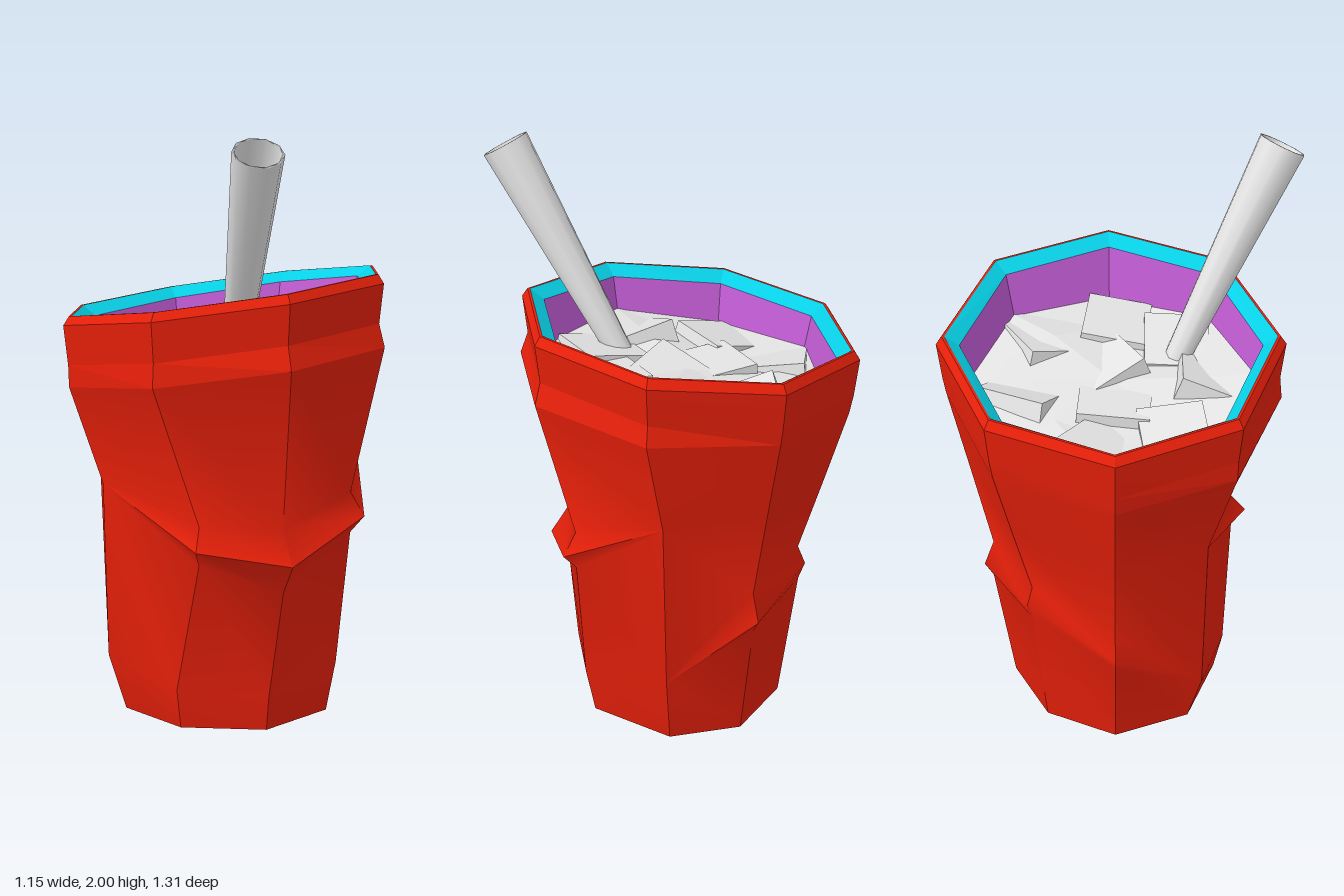
import * as THREE from 'three';
import { mergeGeometries, toCreasedNormals } from 'three/addons/utils/BufferGeometryUtils.js';

const SIDES = 8, CZ = -0.08;
const red = new THREE.MeshStandardMaterial({ name: 'red cup', color: 0xe8200a });
const cyan = new THREE.MeshStandardMaterial({ name: 'cyan trim', color: 0x08d0e6 });
const purple = new THREE.MeshStandardMaterial({ name: 'purple lining', color: 0xc25cd4 });
const pale = new THREE.MeshStandardMaterial({ name: 'pale grey', color: 0xe4e4e4 });

// point at angle t (0 = front, growing towards +x) around the cup axis
const polar = (t, r, y) => new THREE.Vector3(Math.sin(t) * r, y, CZ + Math.cos(t) * r);
const angle = (i) => (i * Math.PI * 2) / SIDES;
// height of the tilted rim plane
const rimY = (x, z) => 1.46 + 0.11 * x + 0.09 * z;
const rimPoint = (i, r, drop) => {
  const p = polar(angle(i), 0.57, 0);
  return polar(angle(i), r, rimY(p.x, p.z) - drop);
};

// joins two equally long polylines; folds within the panel are smoothed up to the crease angle
function panel([left, right], crease) {
  const pos = [];
  const tri = (a, b, c) => {
    const n = b.clone().sub(a).cross(c.clone().sub(a));
    if (n.length() > 1e-7) pos.push(...a.toArray(), ...b.toArray(), ...c.toArray());
  };
  for (let j = 0; j < left.length - 1; j++) {
    tri(left[j], left[j + 1], right[j + 1]);
    tri(left[j], right[j + 1], right[j]);
  }
  const geo = new THREE.BufferGeometry();
  geo.setAttribute('position', new THREE.Float32BufferAttribute(pos, 3));
  geo.computeVertexNormals();
  return toCreasedNormals(geo, crease);
}
const loft = (panels, crease = 0.05) => mergeGeometries(panels.map((p) => panel(p, crease)));

// closed loop of panels from a function giving each column's polyline
function ring(column) {
  const cols = Array.from({ length: SIDES }, (_, i) => column(i));
  return cols.map((c, i) => [c, cols[(i + 1) % SIDES]]);
}

// per column: [radius, height] of the belt, the folds and the foot; twist turns the fold
const columns = [
  { twist: 0.11, p: [[0.59, 1.26], [0.42, 0.70], [0.487, 0.585], [0.425, 0.485], [0.41, 0.12], [0.39, 0]] },
  { twist: 0.05, p: [[0.583, 1.29], [0.46, 0.78], [0.51, 0.70], [0.46, 0.64], [0.42, 0.18], [0.385, 0]] },
  { twist: 0.07, p: [[0.578, 1.28], [0.51, 0.94], [0.44, 0.28], [0.37, 0]] },
  { twist: 0, p: [[0.553, 1.24], [0.49, 0.94], [0.42, 0.60], [0.455, 0.50], [0.425, 0.45], [0.36, 0]] },
  { twist: 0, p: [[0.55, 1.17], [0.475, 0.90], [0.395, 0.62], [0.422, 0.555], [0.40, 0.49], [0.34, 0]] },
  { twist: 0, p: [[0.553, 1.14], [0.49, 0.84], [0.42, 0.51], [0.455, 0.43], [0.425, 0.37], [0.36, 0]] },
  { twist: 0, p: [[0.56, 1.15], [0.445, 0.81], [0.432, 0.2], [0.37, 0]] },
  { twist: 0.22, p: [[0.57, 1.20], [0.43, 0.72], [0.485, 0.645], [0.435, 0.59], [0.40, 0.14], [0.37, 0]] },
].map(({ twist, p }, i) =>
  p.map(([r, y], j) => polar(angle(i) + (j > 0 && j < 4 ? twist : 0), r, y)));

// the two side columns end the front fold high up and the back fold low down
const towardsFront = ([belt, a, b, foot]) => [belt, a, a, a, b, foot];
const towardsBack = ([belt, a, b, foot]) => [belt, a, b, b, b, foot];
const sideColumn = (i, other) => {
  if (columns[i].length > 4) return columns[i];
  return other > 2 && other < 6 ? towardsBack(columns[i]) : towardsFront(columns[i]);
};

// uneven slush with tilted cubes half sunk into it
function makeIce() {
  let seed = 11;
  const rand = () => {
    seed = (seed * 16807) % 2147483647;
    return seed / 2147483647 - 0.5;
  };
  const radii = [0, 0.27, 0.51];
  const centre = polar(0, 0, rimY(0, CZ) - 0.17);
  const slush = loft(ring((i) => radii.map((r, j) => {
    if (j === 0) return centre;
    const p = polar(angle(i), r, 0);
    p.y = rimY(p.x, p.z) - 0.17 + rand() * 0.07;
    return p;
  })));
  const cubes = Array.from({ length: 9 }, (_, i) => {
    const p = i < 2 ? polar(i * Math.PI + 0.8, 0.1, 0) : polar((i - 2) * 0.9 + rand() * 0.3, 0.31, 0);
    const cube = new THREE.BoxGeometry(0.24, 0.2, 0.22).toNonIndexed();
    cube.deleteAttribute('uv');
    cube.rotateY(rand() * 3).rotateX(rand() * 0.7).rotateZ(rand() * 0.7);
    return cube.translate(p.x, rimY(p.x, p.z) - 0.265, p.z);
  });
  return mergeGeometries([slush, ...cubes]);
}

export function createModel() {
  const group = new THREE.Group();
  const add = (name, geo, mat) => {
    const mesh = new THREE.Mesh(geo, mat);
    mesh.name = name;
    group.add(mesh);
    return mesh;
  };

  // thick band around the mouth
  add('rimBand', loft(ring((i) => [
    rimPoint(i, 0.548, 0), rimPoint(i, 0.557, 0), rimPoint(i, 0.577, 0.03),
    rimPoint(i, 0.562, 0.165), columns[i][0],
  ])), red);

  // crumpled body
  const panels = columns.map((_, i) => {
    const k = (i + 1) % SIDES;
    return [sideColumn(i, k), sideColumn(k, i)];
  });
  add('cupBody', loft(panels, 1.0), red);

  // underside: thin red edge and the base plate
  const foot = (i) => columns[i][columns[i].length - 1];
  const inset = (i) => new THREE.Vector3(0, 0, CZ).lerp(foot(i), 0.98);
  add('footEdge', loft(ring((i) => [foot(i), inset(i)])), red);
  add('basePlate', loft(ring((i) => [inset(i), new THREE.Vector3(0, 0, CZ)])), cyan);

  // inner bevel and lining
  add('innerRim', loft(ring((i) => [rimPoint(i, 0.5, 0.035), rimPoint(i, 0.548, 0)])), cyan);
  add('lining', loft(ring((i) => [rimPoint(i, 0.42, 0.4), rimPoint(i, 0.5, 0.035)])), purple);

  // crushed ice
  add('ice', makeIce(), pale);

  // tapered hollow straw
  const low = new THREE.Vector3(-0.05, 1.2, 0.13), tip = new THREE.Vector3(-0.145, 1.956, 0.583);
  const axis = tip.clone().sub(low), len = axis.length();
  const profile = [[0.04, 0], [0.083, len], [0.075, len], [0.034, 0]]
    .map(([r, y]) => new THREE.Vector2(r, y));
  const straw = add('straw', new THREE.LatheGeometry(profile, 10), pale);
  straw.position.copy(low);
  straw.quaternion.setFromUnitVectors(new THREE.Vector3(0, 1, 0), axis.normalize());

  return group;
}
